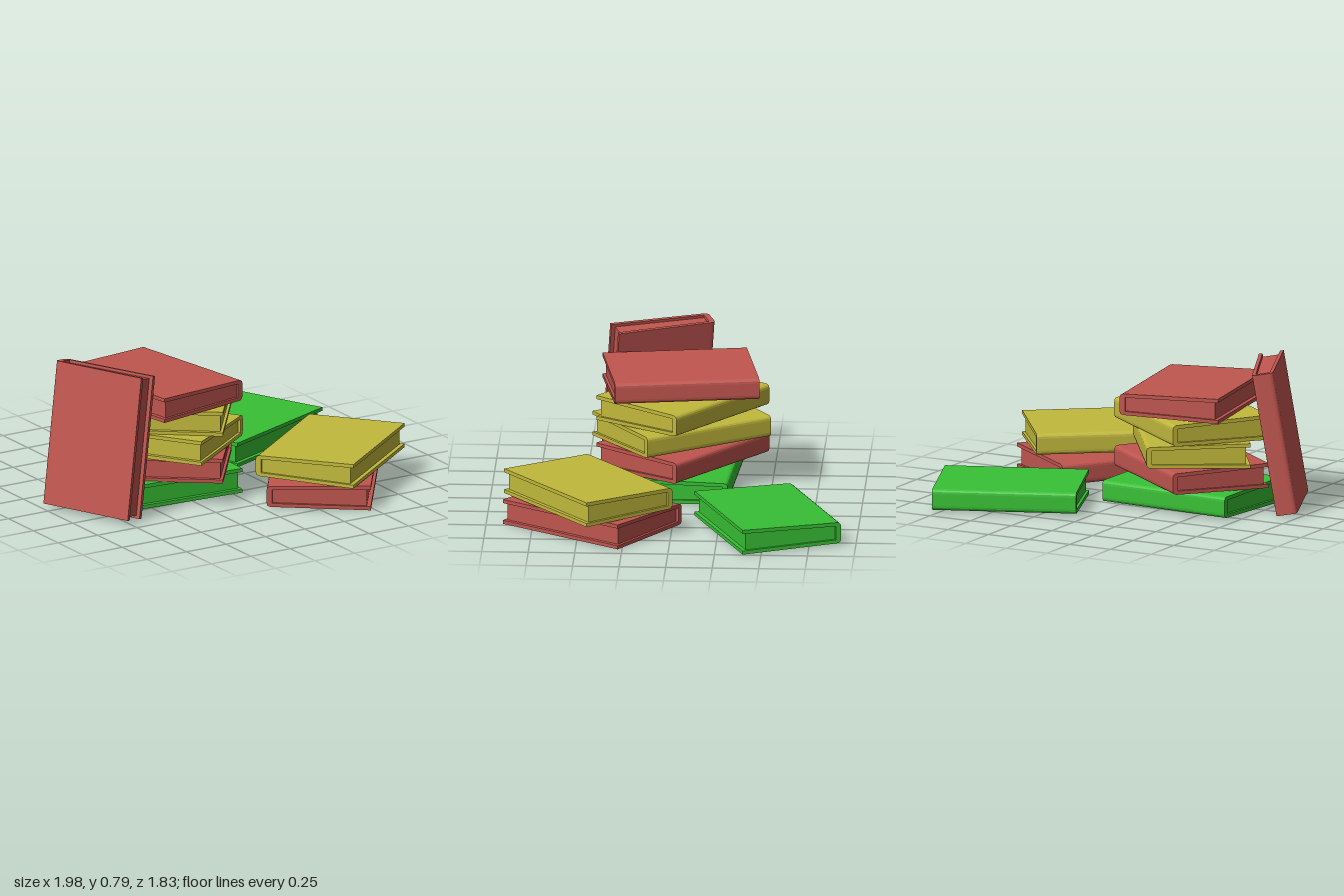
import * as THREE from 'three';

const LENGTH = 0.78, HALF_W = 0.28;
const SPINE_H = 0.058, FORE_H = 0.068; // half thickness at spine and fore edge
const BOARD = 0.02, ROUND = 0.025;

const material = (color) => new THREE.MeshStandardMaterial({ color, flatShading: true });
const red = material(0xc0554f), yellow = material(0xc2b93c), green = material(0x38c035);

// Extrude a cross-section (z, y) along x, centred
function extrudeAlongX(shape, length) {
  const geo = new THREE.ExtrudeGeometry(shape, { depth: length, bevelEnabled: false, curveSegments: 4 });
  return geo.translate(0, 0, -length / 2).rotateY(-Math.PI / 2);
}

// C-shaped cover: boards that flare to the open edge, rounded spine at -z
function coverGeometry() {
  const s = new THREE.Shape();
  s.moveTo(HALF_W, -FORE_H);
  s.lineTo(HALF_W, -FORE_H + BOARD);
  s.lineTo(-HALF_W + 0.03, -SPINE_H + BOARD);
  s.lineTo(-HALF_W + 0.03, SPINE_H - BOARD);
  s.lineTo(HALF_W, FORE_H - BOARD);
  s.lineTo(HALF_W, FORE_H);
  s.lineTo(-HALF_W + ROUND, SPINE_H);
  s.quadraticCurveTo(-HALF_W, SPINE_H, -HALF_W, SPINE_H - ROUND);
  s.lineTo(-HALF_W, -SPINE_H + ROUND);
  s.quadraticCurveTo(-HALF_W, -SPINE_H, -HALF_W + ROUND, -SPINE_H);
  s.closePath();
  return extrudeAlongX(s, LENGTH);
}

// Page block, set back from the cover on its three open sides
function pagesGeometry() {
  const a = SPINE_H - BOARD + 0.002, b = FORE_H - BOARD + 0.002;
  const s = new THREE.Shape();
  s.moveTo(-HALF_W + 0.028, -a);
  s.lineTo(HALF_W - 0.022, -b);
  s.lineTo(HALF_W - 0.022, b);
  s.lineTo(-HALF_W + 0.028, a);
  s.closePath();
  return extrudeAlongX(s, LENGTH - 0.03);
}

export function createModel() {
  const model = new THREE.Group();
  model.name = 'bookPiles';
  const cover = coverGeometry(), pages = pagesGeometry();
  const deg = THREE.MathUtils.degToRad;

  function addBook(name, mat, x, y, z, turn, tilt = 0) {
    const book = new THREE.Group();
    book.name = name;
    for (const [part, geo] of [['cover', cover], ['pages', pages]]) {
      const mesh = new THREE.Mesh(geo, mat);
      mesh.name = part;
      book.add(mesh);
    }
    book.position.set(x, y, z);
    book.rotation.set(0, deg(turn), deg(tilt), 'YXZ');
    model.add(book);
  }

  // Tall stack, from the bottom up
  const stack = [
    [green, -0.315, -0.025, -3.6],
    [red, -0.31, -0.02, -37],
    [yellow, -0.31, -0.015, -55.5],
    [yellow, -0.31, -0.02, -37],
    [red, -0.315, -0.01, -80.4],
  ];
  stack.forEach(([mat, x, z, turn], i) =>
    addBook(`stackBook${i + 1}`, mat, x, 0.07 + i * 0.1325, z, turn));

  // Pair lying in front, single book behind
  addBook('lowerPairBook', red, 0.47, 0.07, 0.43, 54.8);
  addBook('upperPairBook', yellow, 0.505, 0.21, 0.45, 37.2);
  addBook('singleBook', green, 0.525, 0.07, -0.515, 22);

  // Book standing on end against the stack
  addBook('leaningBook', red, -0.765, 0.4, 0.13, 24.2, 80.3);

  return model;
}
